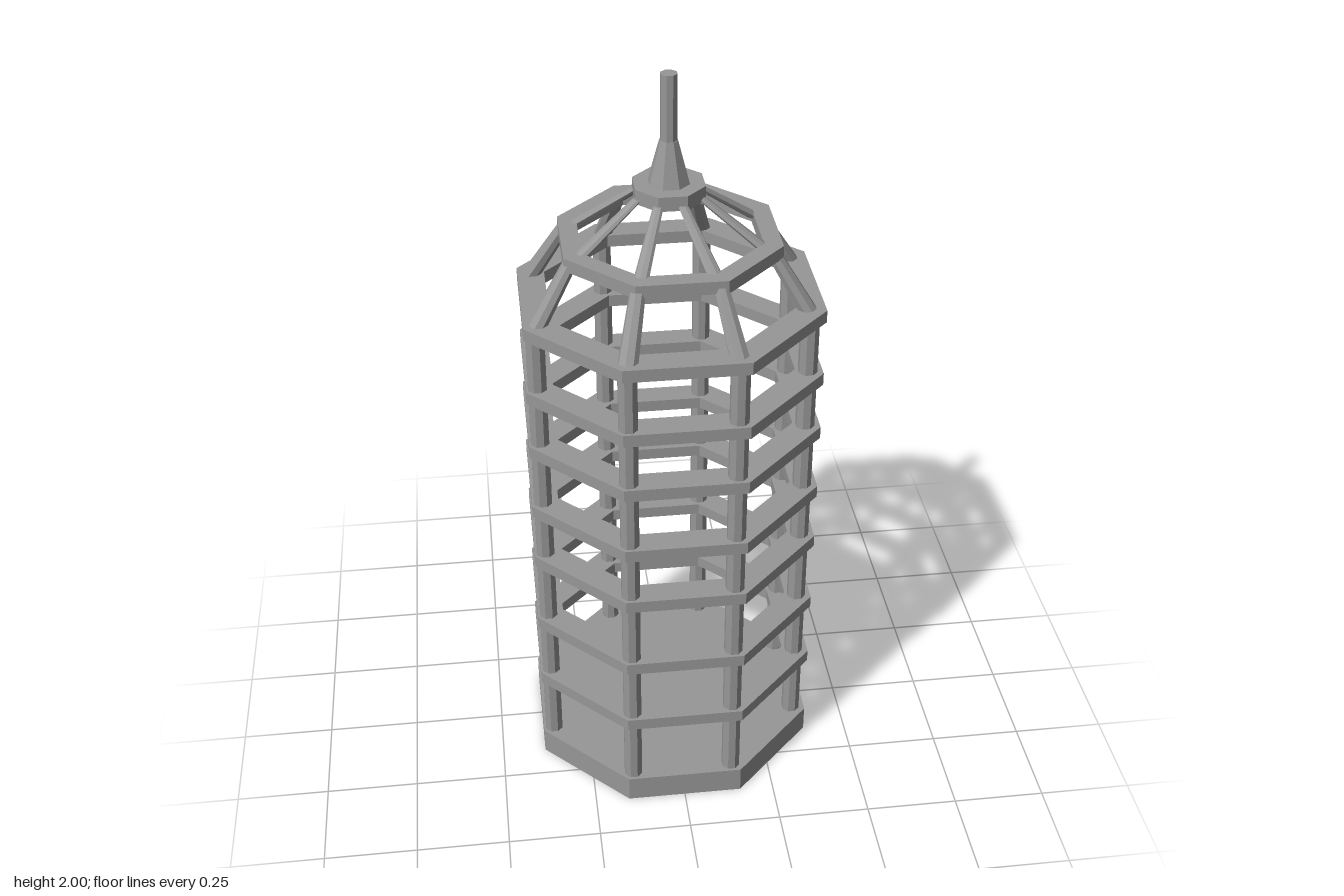
import * as THREE from 'three';

const SIDES = 8;
const STEP = Math.PI / 4;
const HALF = Math.PI / 8;
const COS = Math.cos(HALF);
const material = new THREE.MeshStandardMaterial({ color: 0x979797, flatShading: true });

function add(parent, name, geometry) {
  const mesh = new THREE.Mesh(geometry, material);
  mesh.name = name;
  parent.add(mesh);
  return mesh;
}

// Octagon whose flat sides face the axes, sized by its apothem
function octagon(apothem, PathType) {
  const points = [];
  for (let i = 0; i < SIDES; i++) {
    const a = HALF + i * STEP;
    points.push(new THREE.Vector2(Math.cos(a), Math.sin(a)).multiplyScalar(apothem / COS));
  }
  return new PathType(points);
}

// Flat octagonal frame centred on height y
function ring(parent, name, outer, inner, y, height) {
  const shape = octagon(outer, THREE.Shape);
  shape.holes.push(octagon(inner, THREE.Path));
  const geometry = new THREE.ExtrudeGeometry(shape, { depth: height, bevelEnabled: false });
  geometry.rotateX(-Math.PI / 2);
  add(parent, name, geometry).position.y = y - height / 2;
}

// Solid octagonal prism or frustum, sized by apothems
function prism(parent, name, bottom, top, y0, y1) {
  const geometry = new THREE.CylinderGeometry(top / COS, bottom / COS, y1 - y0, SIDES);
  geometry.rotateY(HALF);
  const mesh = add(parent, name, geometry);
  mesh.position.y = (y0 + y1) / 2;
  return mesh;
}

// Slanted bar: a frustum sheared sideways so both ends stay level
function bar(parent, name, from, to, r0, r1) {
  const mesh = prism(parent, name, r0, r1, from.y, to.y);
  const rise = to.y - from.y;
  const shear = new THREE.Matrix4().makeShear(0, 0, (to.x - from.x) / rise, (to.z - from.z) / rise, 0, 0);
  mesh.geometry.applyMatrix4(shear);
  mesh.position.copy(from).add(to).multiplyScalar(0.5);
}

export function createModel() {
  const model = new THREE.Group();
  model.name = 'birdcage';

  // Solid floor slab
  prism(model, 'base', 0.38, 0.38, 0, 0.075);

  // Horizontal hoops up the cage, and the smaller one in the dome
  [0.28, 0.48, 0.693, 0.86, 1.05, 1.215, 1.4].forEach((y) => {
    ring(model, 'hoop', 0.38, 0.31, y, 0.034);
  });
  ring(model, 'domeHoop', 0.272, 0.225, 1.565, 0.034);

  // Corner posts and the two tiers of roof ribs, set slightly off the axis
  const bars = new THREE.Group();
  bars.name = 'bars';
  bars.position.set(-0.005, 0, 0.003);
  model.add(bars);
  for (let i = 0; i < SIDES; i++) {
    const a = HALF + i * STEP + (i % 2 ? 0.015 : -0.015);
    const at = (r, y) => new THREE.Vector3(r * Math.cos(a), y, r * Math.sin(a));
    bar(bars, 'post', at(0.372, 0.06), at(0.372, 1.405), 0.0235, 0.0235);
    bar(bars, 'lowerRib', at(0.372, 1.4), at(0.262, 1.575), 0.0245, 0.018);
    bar(bars, 'upperRib', at(0.255, 1.565), at(0.08, 1.692), 0.018, 0.012);
  }

  // Collar and finial
  prism(model, 'collar', 0.087, 0.087, 1.68, 1.718);
  prism(model, 'finialFoot', 0.05, 0.022, 1.718, 1.83);
  prism(model, 'finialRod', 0.02, 0.02, 1.82, 2);

  return model;
}
